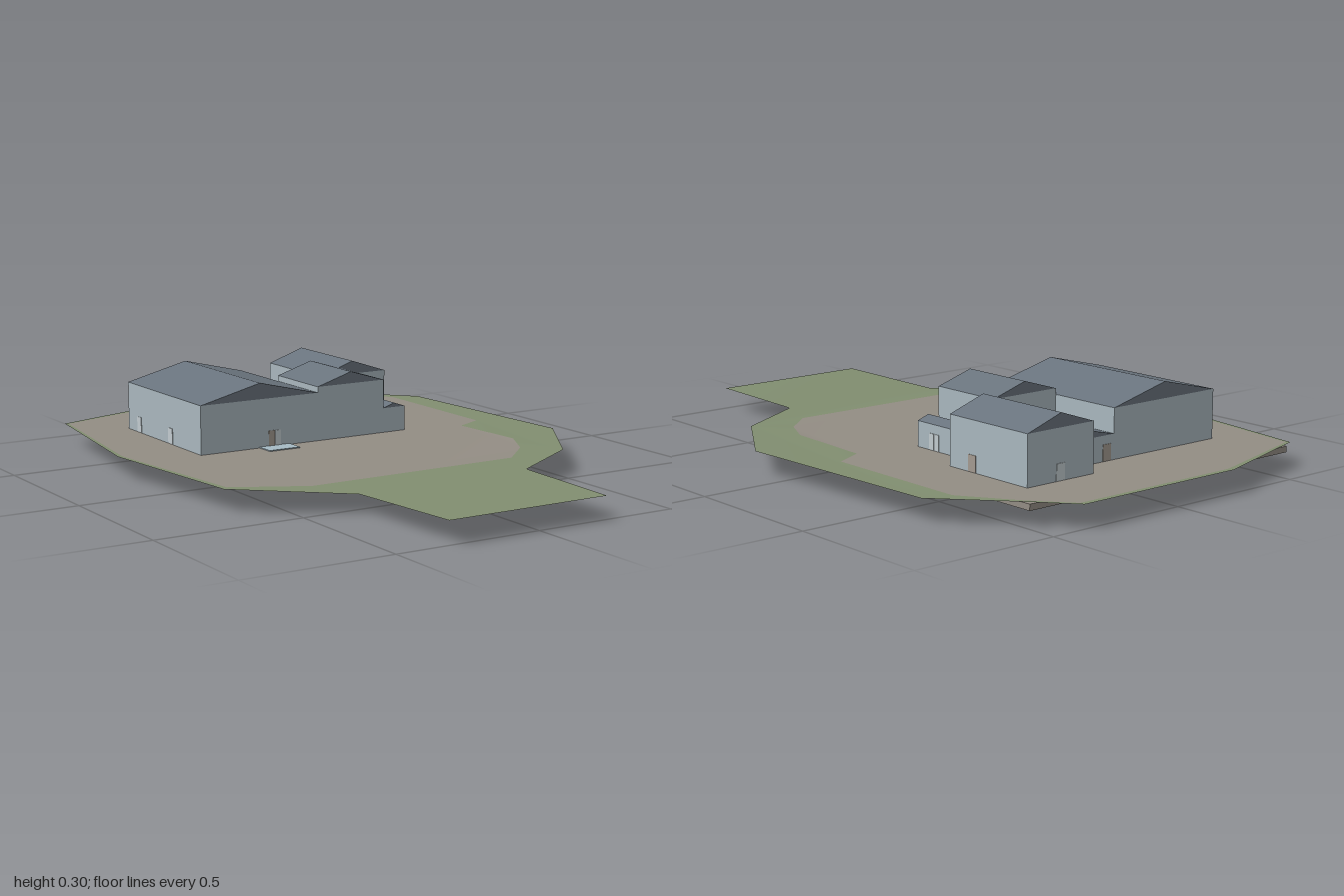
import * as THREE from 'three';

const mat = (name, color) => {
  const m = new THREE.MeshStandardMaterial({ color, side: THREE.DoubleSide });
  m.name = name;
  return m;
};

export function createModel() {
  const group = new THREE.Group();
  const wall = mat('pale blue wall', 0xa9b7be);
  const roofing = mat('slate roof', 0x6a747e);
  const gravel = mat('gravel', 0x938d84);
  const grass = mat('grass', 0x818e70);
  const concrete = mat('warm concrete', 0xa39a90);
  const trim = mat('pale door', 0xc2cbcf);
  const apron = mat('light step', 0xa6bac4);

  const add = (name, geo, material, parent = group) => {
    const m = new THREE.Mesh(geo, material);
    m.name = name;
    parent.add(m);
    return m;
  };
  // Box given by its two extreme corners
  const box = (name, x0, x1, y0, y1, z0, z1, material, parent) => {
    const m = add(name, new THREE.BoxGeometry(x1 - x0, y1 - y0, z1 - z0), material, parent);
    m.position.set((x0 + x1) / 2, (y0 + y1) / 2, (z0 + z1) / 2);
    return m;
  };
  const points = (list) => list.map(([x, z]) => new THREE.Vector2(x, z));

  // Ground outlines as x, z
  const outer = points([[-0.24, -1], [0.38, -1], [0.49, -0.87], [0.69, -0.65], [0.73, 0.12], [0.54, 0.42],
    [0.27, 0.58], [0.25, 1], [-0.32, 1], [-0.34, 0.56], [-0.67, 0.32], [-0.735, -0.27], [-0.65, -0.87]]);
  const yard = points([[-0.24, -0.98], [0.38, -0.98], [0.48, -0.86], [0.6, -0.68], [0.6, -0.15], [0.5, -0.1],
    [0.5, 0.2], [0.44, 0.32], [0.33, 0.42], [-0.42, 0.42], [-0.65, 0.3], [-0.72, -0.27], [-0.64, -0.86]]);

  // Lay a flat shape on the ground and ripple its rim gently
  const lay = (shape) => {
    const geo = new THREE.ShapeGeometry(shape).rotateX(-Math.PI / 2).scale(1, 1, -1);
    const p = geo.attributes.position;
    for (let i = 0; i < p.count; i++) {
      const x = p.getX(i), z = p.getZ(i);
      const rise = 0.01 * Math.exp(-((x - 0.6) ** 2 + (z - 0.25) ** 2) / 0.03);
      const dip = 0.009 * Math.exp(-((x + 0.35) ** 2 + (z - 0.56) ** 2) / 0.01);
      p.setY(i, 0.073 + rise - dip);
    }
    // Restore upward-facing triangles after the mirror
    const idx = geo.index;
    for (let i = 0; i < idx.count; i += 3) {
      const a = idx.getX(i);
      idx.setX(i, idx.getX(i + 1));
      idx.setX(i + 1, a);
    }
    geo.computeVertexNormals();
    return geo;
  };
  const lawn = new THREE.Shape(outer);
  lawn.holes.push(new THREE.Path(yard));
  add('lawn', lay(lawn), grass);
  add('yard', lay(new THREE.Shape(yard)), gravel);

  // Foundation slab, open beneath the buildings
  const slab = new THREE.Shape(points([[-0.61, -0.89], [0.49, -0.89], [0.49, -0.01], [-0.61, -0.01]]));
  slab.holes.push(new THREE.Path(points([[-0.5, -0.67], [0.115, -0.67], [0.115, -0.76], [0.38, -0.76],
    [0.38, -0.41], [0.207, -0.41], [0.207, -0.32], [0.293, -0.32], [0.293, -0.15], [-0.5, -0.15]])));
  const slabGeo = new THREE.ExtrudeGeometry(slab, { depth: 0.02, bevelEnabled: false });
  add('foundationSlab', slabGeo.rotateX(Math.PI / 2).translate(0, 0.07, 0), gravel);

  // Gabled buildings: walls plus a triangular roof with its ridge along z
  const building = (name, x0, x1, z0, z1, eave, ridge) => {
    const g = new THREE.Group();
    g.name = name;
    group.add(g);
    box(name + 'Walls', x0, x1, 0.06, eave, z0, z1, wall, g);
    const gable = new THREE.Shape(points([[x0, eave], [x1, eave], [(x0 + x1) / 2, ridge]]));
    const geo = new THREE.ExtrudeGeometry(gable, { depth: z1 - z0, bevelEnabled: false });
    add(name + 'Roof', geo.translate(0, 0, z0), roofing, g);
  };
  building('mainHall', -0.498, -0.055, -0.673, -0.147, 0.236, 0.29);
  building('frontHall', -0.055, 0.207, -0.41, -0.147, 0.256, 0.296);
  building('rearHall', 0.115, 0.382, -0.76, -0.41, 0.235, 0.28);
  building('link', -0.055, 0.115, -0.673, -0.41, 0.155, 0.175);
  building('sidePorch', 0.207, 0.293, -0.32, -0.147, 0.157, 0.172);

  // Doors: thin leaves set on a wall face
  const doorZ = (name, x, z, w, material) =>
    box(name, x - w / 2, x + w / 2, 0.074, 0.127, z - 0.002, z + 0.002, material);
  const doorX = (name, x, z, w, material) =>
    box(name, x - 0.002, x + 0.002, 0.074, 0.127, z - w / 2, z + w / 2, material);
  for (const s of [-1, 1]) {
    doorZ('frontDoorLeaf', -0.222 + s * 0.012, -0.147, 0.022, s < 0 ? concrete : trim);
    doorX('porchDoorLeaf', 0.293, -0.228 + s * 0.012, 0.022, trim);
  }
  doorX('rearHallSideDoor', 0.382, -0.515, 0.034, concrete);
  doorZ('rearHallBackDoor', 0.25, -0.76, 0.034, trim);
  doorZ('linkDoor', -0.025, -0.673, 0.034, concrete);
  for (const z of [-0.59, -0.36]) doorX('hallSideDoor', -0.498, z, 0.03, trim);

  // Step outside the front door
  box('entranceStep', -0.28, -0.165, 0.049, 0.076, -0.147, -0.08, apron);

  // Basement below the main hall, with a deeper stair pit
  box('basement', -0.21, -0.056, 0.006, 0.062, -0.67, -0.27, apron);
  box('stairPit', -0.12, -0.055, 0, 0.061, -0.671, -0.5, concrete);

  return group;
}
